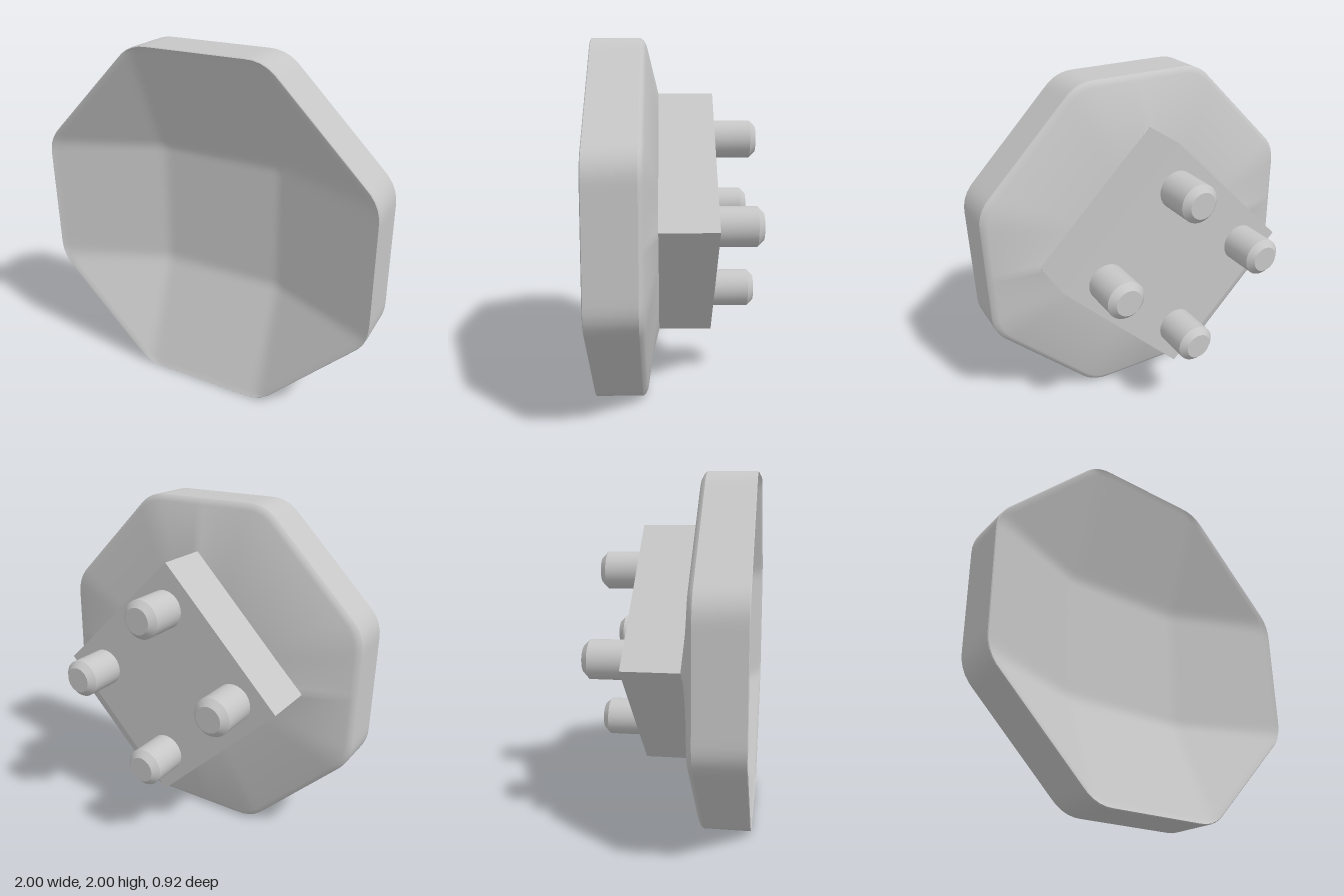
import * as THREE from 'three';
import { toCreasedNormals } from 'three/addons/utils/BufferGeometryUtils.js';

const N = 160, CY = 1;
const FRONT = 0.46, FLOOR = 0.195;

// Radius at angle a of a rounded octagon: sides at 1, diagonals on x + y = 1.385
function octagonRadius(a) {
  const r = 0.22, diagonal = 1.385;
  const c = Math.abs(Math.cos(a)), s = Math.abs(Math.sin(a));
  const u = Math.max(c, s), v = Math.min(c, s);
  const cx = 1 - r, cy = diagonal - r * Math.SQRT2 - cx;
  const k = r * Math.SQRT1_2;
  if (v / u <= cy) return 1 / u;
  if (v / u >= (cy + k) / (cx + k)) return diagonal / (u + v);
  const b = cx * u + cy * v;
  return b + Math.sqrt(b * b - cx * cx - cy * cy + r * r);
}

const diamondRadius = (a) => 0.71 / (Math.abs(Math.cos(a)) + Math.abs(Math.sin(a)));

// Flat in the middle, then a straight slope, with a softened bend
function ramp(t) {
  const e = Math.abs(t) - 0.367, w = 0.035;
  if (e < -w) return 0;
  return e > w ? e : (e + w) ** 2 / (4 * w);
}

const bowlDepth = (x, y) => Math.min(FRONT, FLOOR + 0.418 * (ramp(x) + ramp(y)));

// Dish skin: rings run from the bowl centre, over the rim, to the back
function dishGeometry() {
  const rings = [];
  const inner = 40;
  for (let i = 0; i <= inner; i++) {
    rings.push({ s: (i / inner) * 0.985, z: null });
  }
  rings.push({ s: 0.996, z: FRONT }, { s: 1, z: FRONT - 0.004 }, { s: 1, z: 0.194 },
    { s: 0.99, z: 0.18 }, { s: 0.965, z: 0.166 }, { diamond: true, z: 0.104 });

  const pos = [], idx = [];
  rings.forEach((ring, k) => {
    for (let j = 0; j < N; j++) {
      const a = (j / N) * Math.PI * 2;
      const r = ring.diamond ? diamondRadius(a) : ring.s * octagonRadius(a);
      const x = r * Math.cos(a), y = r * Math.sin(a);
      pos.push(x, y + CY, ring.z === null ? bowlDepth(x, y) : ring.z);
      if (k + 1 < rings.length) {
        const n = (j + 1) % N, p = k * N, q = p + N;
        idx.push(p + j, q + j, q + n);
        if (k > 0) idx.push(p + j, q + n, p + n);
      }
    }
  });
  const g = new THREE.BufferGeometry();
  g.setAttribute('position', new THREE.Float32BufferAttribute(pos, 3));
  g.setIndex(idx);
  return toCreasedNormals(g, 0.5);
}

// Chamfered peg, lathed along y and turned to point backwards
function pegGeometry() {
  const profile = [[0, -0.02], [0.11, -0.02], [0.11, 0.215], [0.075, 0.25], [0, 0.25]]
    .map(([x, y]) => new THREE.Vector2(x, y));
  const g = toCreasedNormals(new THREE.LatheGeometry(profile, 40), 0.5);
  return g.rotateX(-Math.PI / 2);
}

export function createModel() {
  const model = new THREE.Group();
  model.name = 'octagonalDish';
  const grey = new THREE.MeshStandardMaterial({ color: 0xc6c6c6 });
  grey.name = 'grey';

  const add = (name, geometry, x, y, z) => {
    const mesh = new THREE.Mesh(geometry, grey);
    mesh.name = name;
    mesh.position.set(x, y, z);
    model.add(mesh);
    return mesh;
  };

  add('dish', dishGeometry(), 0, 0, 0);

  // Square mounting block, standing on its corner with a slight twist
  const side = 0.712 * Math.SQRT2;
  add('mountingBlock', new THREE.BoxGeometry(side, side, 0.315), 0, CY + 0.003, -0.0525)
    .rotation.z = Math.PI / 4 + 0.012;

  // Four pegs, one near each corner of the block
  const peg = pegGeometry();
  for (const [x, y] of [[0.45, 0], [-0.45, 0], [0, 0.45], [0, -0.45]]) {
    add('peg', peg, x, CY + y, -0.21);
  }
  return model;
}
